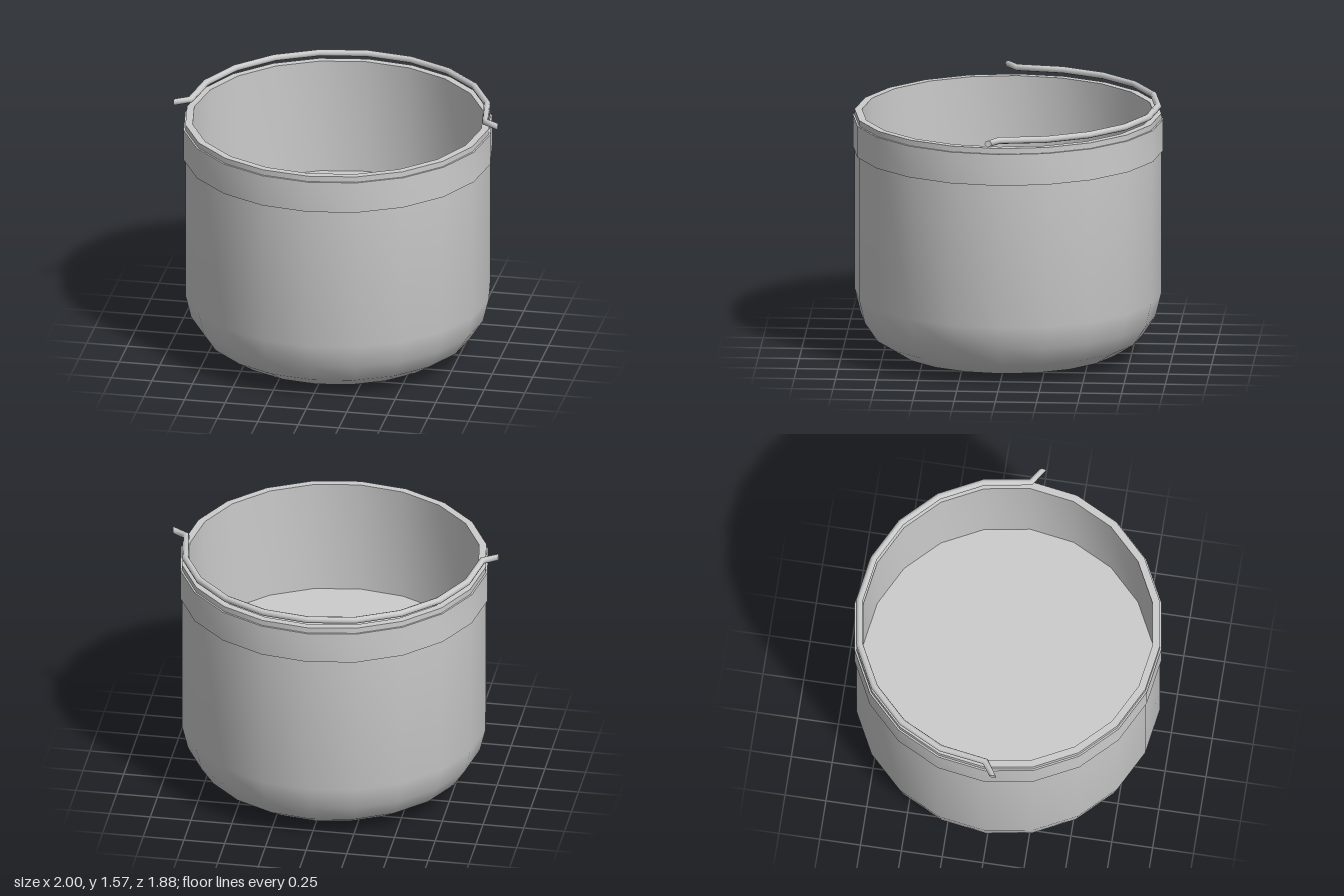
import * as THREE from 'three';
import { toCreasedNormals } from 'three/addons/utils/BufferGeometryUtils.js';

const SIDES = 20;
const material = new THREE.MeshStandardMaterial({ color: 0xcccccc });

function part(name, geometry) {
  const mesh = new THREE.Mesh(geometry, material);
  mesh.name = name;
  return mesh;
}

// Turned part with sharp rims and smooth walls
function turned(name, profile) {
  const points = profile.map(([r, y]) => new THREE.Vector2(r, y));
  return part(name, toCreasedNormals(new THREE.LatheGeometry(points, SIDES), 0.62));
}

// Path with straight runs and one tube ring at each corner
class Polyline extends THREE.Curve {
  constructor(points) {
    super();
    this.points = points;
  }
  getPoint(t, target = new THREE.Vector3()) {
    return target.copy(this.points[Math.round(t * (this.points.length - 1))]);
  }
  getPointAt(u, target) {
    return this.getPoint(u, target);
  }
  getTangentAt(u, target = new THREE.Vector3()) {
    const p = this.points, last = p.length - 1, i = Math.round(u * last);
    // the tips are cut square to x
    if (i === 0 || i === last) return target.set(-1, 0, 0);
    const before = p[i].clone().sub(p[i - 1]).normalize();
    const after = p[i + 1].clone().sub(p[i]).normalize();
    return target.copy(before.add(after).normalize());
  }
}

function makeHandle() {
  const handle = new THREE.Group();
  handle.name = 'handle';
  const y = 1.545, r = 0.91, wire = 0.021;
  const path = [new THREE.Vector3(0.999, y, 0.06)];
  for (let i = 0; i <= SIDES / 2; i++) {
    const a = (i / SIDES) * Math.PI * 2;
    path.push(new THREE.Vector3(Math.cos(a) * r, y, -Math.sin(a) * r));
  }
  path.push(new THREE.Vector3(-0.999, y, 0.06));
  handle.add(part('handleWire', new THREE.TubeGeometry(new Polyline(path), path.length - 1, wire, 8)));

  // end caps
  for (const side of [1, -1]) {
    const cap = part(side > 0 ? 'leftHandleTip' : 'rightHandleTip', new THREE.CircleGeometry(wire, 8));
    cap.position.set(side * 0.999, y, 0.06);
    cap.rotation.y = side * Math.PI / 2;
    handle.add(cap);
  }
  return handle;
}

export function createModel() {
  const pot = new THREE.Group();
  pot.name = 'pot';

  // rounded outer shell, flat rim and straight inner wall
  pot.add(turned('body', [
    [0, 0], [0.54, 0], [0.69, 0.035], [0.815, 0.115], [0.895, 0.235],
    [0.93, 0.38], [0.93, 1.5], [0.885, 1.5], [0.885, 0.78],
  ]));

  // raised inner floor
  pot.add(turned('innerFloor', [[0.885, 0.78], [0, 0.78]]));

  // band around the top of the wall
  pot.add(turned('band', [[0.925, 1.27], [0.941, 1.27], [0.941, 1.465], [0.925, 1.465]]));

  // bail handle folded back over the rim
  pot.add(makeHandle());
  return pot;
}
